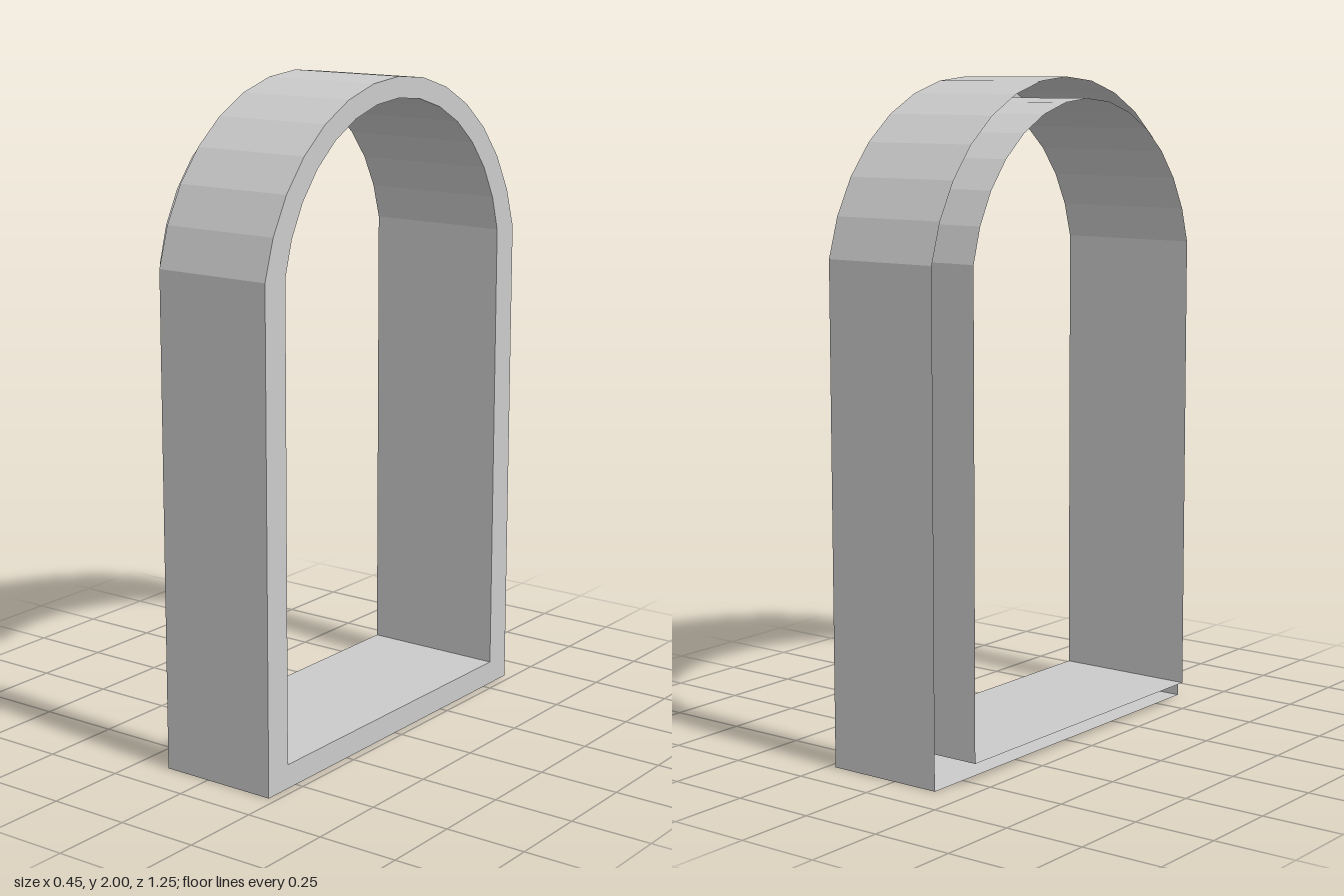
import * as THREE from 'three';

const SPRING = 1.49; // height where the arch begins
const FRONT = 0.225; // plane of the front trim (+x)

// Closed counter-clockwise outline: straight jambs and a segmented arch
function archOutline(halfWidth, bottom, top, segments = 14) {
  const rise = top - SPRING;
  const radius = (halfWidth * halfWidth + rise * rise) / (2 * rise);
  const half = Math.asin(halfWidth / radius);
  const points = [new THREE.Vector2(-halfWidth, bottom), new THREE.Vector2(halfWidth, bottom)];
  for (let i = 0; i <= segments; i++) {
    const a = half - (2 * half * i) / segments;
    points.push(new THREE.Vector2(radius * Math.sin(a), top - radius + radius * Math.cos(a)));
  }
  return points;
}

// Thin wall sweeping an outline along x, facing outward for a counter-clockwise outline
function wall(points, x0, x1) {
  const positions = [];
  points.forEach((p, i) => {
    const q = points[(i + 1) % points.length];
    const a = [x0, p.y, -p.x], b = [x0, q.y, -q.x];
    const c = [x1, q.y, -q.x], d = [x1, p.y, -p.x];
    positions.push(...a, ...b, ...c, ...a, ...c, ...d);
  });
  const geometry = new THREE.BufferGeometry();
  geometry.setAttribute('position', new THREE.Float32BufferAttribute(positions, 3));
  geometry.computeVertexNormals();
  return geometry;
}

export function createModel() {
  const group = new THREE.Group();
  group.name = 'archedWindowFrame';
  const material = new THREE.MeshStandardMaterial({
    color: 0xcccccc, flatShading: true, side: THREE.DoubleSide,
  });
  const add = (name, geometry) => {
    const mesh = new THREE.Mesh(geometry, material);
    mesh.name = name;
    group.add(mesh);
  };

  const outer = archOutline(0.627, 0, 2);
  const inner = archOutline(0.537, 0.073, 1.938);

  // Outer casing, open at the back
  add('outerCasing', wall(outer, -0.15, FRONT));

  // Inner lining, reaching further back than the casing
  add('innerLining', wall([...inner].reverse(), -0.225, FRONT));

  // Flat trim joining casing and lining at the front
  const trim = new THREE.Shape(outer);
  trim.holes.push(new THREE.Path(inner));
  add('frontTrim', new THREE.ShapeGeometry(trim).rotateY(Math.PI / 2).translate(FRONT, 0, 0));

  return group;
}
